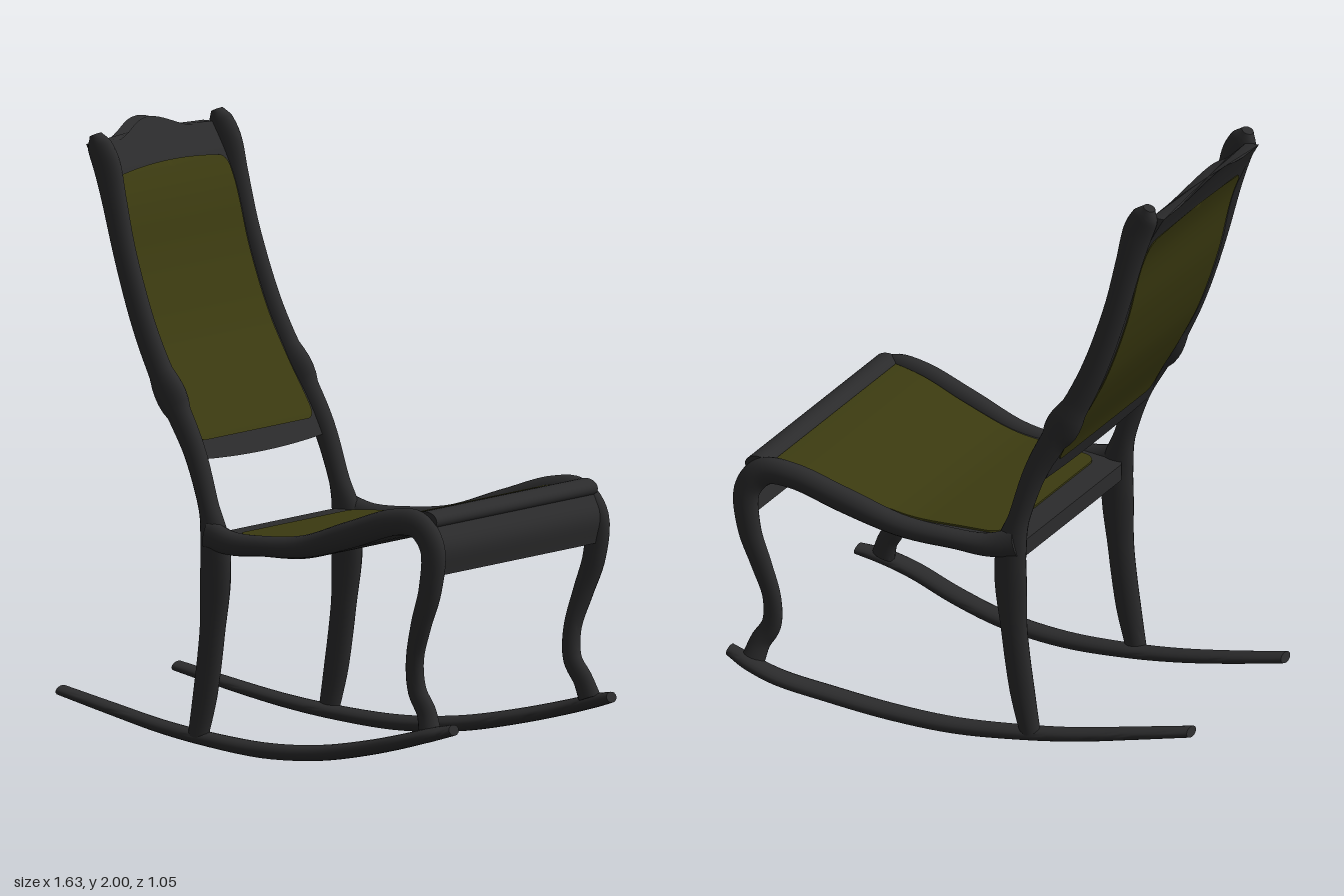
import * as THREE from 'three';
import { toCreasedNormals } from 'three/addons/utils/BufferGeometryUtils.js';

const lerp = THREE.MathUtils.lerp;

// Skin a list of closed rings and cap both ends
function loft(rings, crease = 0.8) {
  const n = rings[0].length, pos = [], idx = [];
  rings.forEach(r => r.forEach(p => pos.push(p.x, p.y, p.z)));
  for (let i = 0; i < rings.length - 1; i++)
    for (let j = 0; j < n; j++) {
      const a = i * n + j, b = i * n + (j + 1) % n;
      idx.push(a, b, a + n, b, b + n, a + n);
    }
  [0, rings.length - 1].forEach(i => {
    const c = new THREE.Vector3();
    rings[i].forEach(p => c.addScaledVector(p, 1 / n));
    const k = pos.length / 3;
    pos.push(c.x, c.y, c.z);
    for (let j = 0; j < n; j++) {
      const a = i * n + j, b = i * n + (j + 1) % n;
      if (i) idx.push(k, a, b); else idx.push(k, b, a);
    }
  });
  const g = new THREE.BufferGeometry();
  g.setAttribute('position', new THREE.Float32BufferAttribute(pos, 3));
  g.setIndex(idx);
  return toCreasedNormals(g, crease);
}

// Oval bar bent in the side plane; points are [x, y, z, half depth, half width]
function bar(points, side, steps = 48, sides = 16) {
  const path = new THREE.CatmullRomCurve3(points.map(p => new THREE.Vector3(p[0], p[1], p[2] * side)));
  const size = new THREE.CatmullRomCurve3(points.map(p => new THREE.Vector3(p[3], p[4], 0)));
  const rings = [];
  for (let i = 0; i <= steps; i++) {
    const t = i / steps, c = path.getPoint(t), d = path.getTangent(t), s = size.getPoint(t);
    const l = Math.hypot(d.x, d.y) || 1, ring = [];
    for (let j = 0; j < sides; j++) {
      const a = j / sides * Math.PI * 2, h = s.x * Math.cos(a);
      ring.push(new THREE.Vector3(c.x - d.y / l * h, c.y + d.x / l * h, c.z + s.y * Math.sin(a)));
    }
    rings.push(ring);
  }
  return loft(rings);
}

// Curved slab; f(u, v, d) gives a point on the face d = +1 or -1
function slab(f, nu = 24, nv = 40) {
  const rings = [];
  for (let i = 0; i <= nv; i++) {
    const v = 0.5 - 0.5 * Math.cos(Math.PI * i / nv), ring = [];
    for (let j = 0; j <= nu; j++) ring.push(f(j / nu, v, 1));
    for (let j = nu; j >= 0; j--) ring.push(f(j / nu, v, -1));
    rings.push(ring);
  }
  return loft(rings);
}

// Smooth height table lookup
function profile(table) {
  return q => {
    let i = 0;
    while (i < table.length - 2 && q > table[i + 1][0]) i++;
    const at = k => table[Math.min(Math.max(k, 0), table.length - 1)];
    const slope = k => (at(k + 1)[1] - at(k - 1)[1]) / (at(k + 1)[0] - at(k - 1)[0]);
    const [a, b] = [at(i), at(i + 1)], h = b[0] - a[0], t = (q - a[0]) / h;
    const t2 = t * t, t3 = t2 * t;
    return (2 * t3 - 3 * t2 + 1) * a[1] + (t3 - 2 * t2 + t) * h * slope(i)
      + (3 * t2 - 2 * t3) * b[1] + (t3 - t2) * h * slope(i + 1);
  };
}

// Narrowing near an end that rounds a corner of radius r
const corner = (e, r) => e >= r ? 0 : r - Math.sqrt(Math.max(0, r * r - (r - e) ** 2));

const backX = profile([[0.93, -0.26], [1.05, -0.315], [1.2, -0.4], [1.35, -0.475], [1.55, -0.545],
  [1.75, -0.595], [1.85, -0.635], [1.95, -0.69], [2, -0.722]]);
const seatY = profile([[-0.21, 0.685], [0, 0.69], [0.2, 0.7], [0.4, 0.755], [0.55, 0.805], [0.7, 0.83]]);

export function createModel() {
  const wood = new THREE.MeshStandardMaterial({ color: 0x2b2b2c });
  wood.name = 'blackWood';
  const cloth = new THREE.MeshStandardMaterial({ color: 0x3b3a10 });
  cloth.name = 'oliveCloth';
  const chair = new THREE.Group();
  chair.name = 'rockingChair';
  const add = (name, geometry, material = wood) => {
    const m = new THREE.Mesh(geometry, material);
    m.name = name;
    chair.add(m);
  };

  for (const [s, label] of [[1, 'left'], [-1, 'right']]) {
    // Rocker, splayed outwards towards the front
    add(label + 'Rocker', bar([
      [-0.81, 0.152, 0.335, 0.017, 0.033], [-0.6, 0.107, 0.343, 0.02, 0.034], [-0.4, 0.068, 0.357, 0.022, 0.034],
      [-0.2, 0.042, 0.37, 0.024, 0.035], [0.03, 0.027, 0.388, 0.026, 0.036], [0.25, 0.04, 0.41, 0.026, 0.038],
      [0.45, 0.075, 0.445, 0.025, 0.04], [0.62, 0.115, 0.482, 0.024, 0.04], [0.73, 0.145, 0.477, 0.023, 0.037],
      [0.81, 0.165, 0.455, 0.018, 0.028]], s));
    // Rear leg running up into the back post
    add(label + 'BackPost', bar([
      [-0.245, 0.05, 0.378, 0.036, 0.025], [-0.215, 0.2, 0.378, 0.045, 0.025], [-0.188, 0.4, 0.379, 0.047, 0.025],
      [-0.175, 0.58, 0.38, 0.058, 0.027], [-0.178, 0.7, 0.38, 0.054, 0.028], [-0.208, 0.82, 0.376, 0.036, 0.028],
      [-0.262, 0.98, 0.372, 0.04, 0.027], [-0.325, 1.1, 0.368, 0.045, 0.027], [-0.4, 1.23, 0.365, 0.045, 0.027],
      [-0.47, 1.38, 0.361, 0.043, 0.026], [-0.545, 1.6, 0.356, 0.042, 0.026], [-0.592, 1.78, 0.352, 0.046, 0.026],
      [-0.622, 1.89, 0.35, 0.052, 0.026], [-0.65, 1.95, 0.35, 0.046, 0.026], [-0.665, 1.985, 0.35, 0.02, 0.022]], s, 72));
    // Side rail curling over the front into the front leg
    add(label + 'RailAndFrontLeg', bar([
      [-0.2, 0.72, 0.388, 0.05, 0.028], [-0.1, 0.697, 0.398, 0.04, 0.032], [0.02, 0.699, 0.408, 0.034, 0.033],
      [0.2, 0.713, 0.423, 0.037, 0.034], [0.4, 0.772, 0.443, 0.044, 0.034], [0.58, 0.828, 0.458, 0.044, 0.033],
      [0.68, 0.826, 0.465, 0.047, 0.03], [0.738, 0.755, 0.472, 0.046, 0.026], [0.73, 0.62, 0.474, 0.042, 0.024],
      [0.69, 0.5, 0.468, 0.037, 0.023], [0.657, 0.38, 0.455, 0.032, 0.022], [0.662, 0.28, 0.448, 0.034, 0.022],
      [0.7, 0.215, 0.452, 0.036, 0.023], [0.72, 0.155, 0.462, 0.04, 0.028]], s, 72));
  }

  // Back frame with a humped crest
  const crest = z => 1.948 + (Math.abs(z) < 0.24 ? 0.026 * (1 + Math.cos(Math.PI * z / 0.24)) : 0);
  add('backFrame', slab((u, v, d) => {
    const w = lerp(0.362, 0.338, v), z = (2 * u - 1) * w;
    const y = lerp(0.942 + 0.1 * z * z, crest(z), v);
    return new THREE.Vector3(backX(y) - d * 0.022, y, z);
  }));

  // Cloth on the front and rear of the back
  for (const [name, off] of [['backrestCloth', 0.022], ['rearCloth', -0.022]])
    add(name, slab((u, v, d) => {
      const y0 = lerp(1.01, 1.845, v);
      const w = lerp(0.333, 0.318, v) - corner(y0 - 1.01, 0.035) - corner(1.845 - y0, 0.035);
      const z = (2 * u - 1) * w, y = y0 + v * 0.02 * (1 - (z / 0.32) ** 2);
      return new THREE.Vector3(backX(y) + off - d * 0.004, y, z);
    }), cloth);

  // Seat base
  add('seatFrame', slab((u, v, d) => {
    const x = lerp(-0.21, 0.69, v), w = lerp(0.37, 0.455, v) - corner(x + 0.21, 0.04);
    return new THREE.Vector3(x, seatY(x) + d * 0.028, (2 * u - 1) * w);
  }));

  // Seat cloth
  add('seatCloth', slab((u, v, d) => {
    const x = lerp(-0.12, 0.66, v), w = lerp(0.342, 0.432, v) - corner(x + 0.12, 0.05);
    return new THREE.Vector3(x, seatY(x) + 0.03 + d * 0.004, (2 * u - 1) * w);
  }), cloth);

  // Rounded front rail and the apron below it
  const rail = new THREE.CylinderGeometry(1, 1, 0.93, 24);
  rail.rotateX(Math.PI / 2).scale(0.046, 0.032, 1).translate(0.704, 0.842, 0);
  add('frontRail', rail);
  const apronX = profile([[0.665, 0.735], [0.76, 0.752], [0.85, 0.715]]);
  add('frontApron', slab((u, v, d) => {
    const y = lerp(0.665, 0.85, v);
    return new THREE.Vector3(apronX(y) - d * 0.015, y, (2 * u - 1) * 0.458);
  }, 8, 16));

  return chair;
}
